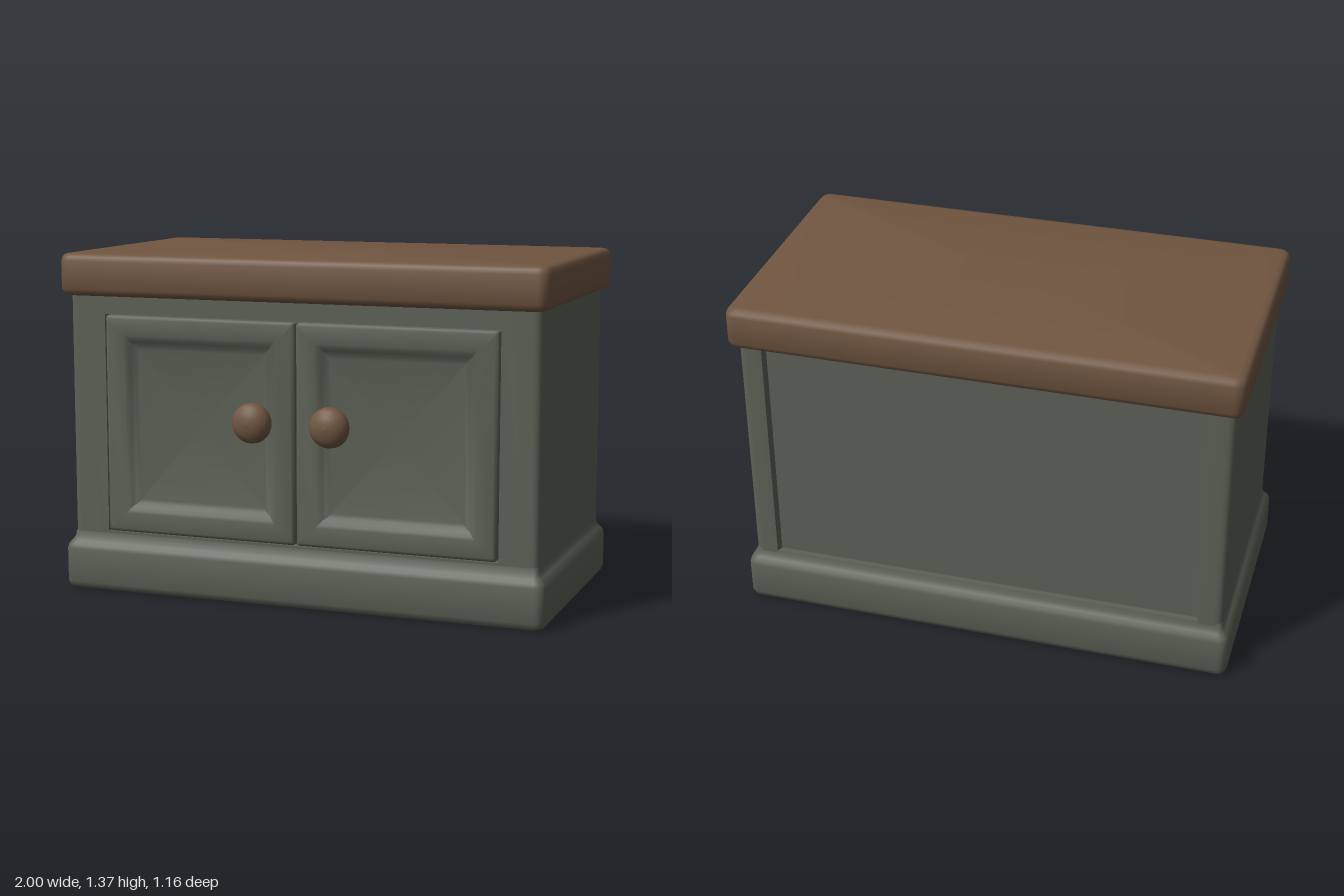
import * as THREE from 'three';
import { toCreasedNormals } from 'three/addons/utils/BufferGeometryUtils.js';

// One rounded rectangle as a ring of points, counter-clockwise in the xy plane.
function roundedRing(hx, hy, r, z) {
  const ring = [], steps = 5;
  const corners = [[1, 1], [-1, 1], [-1, -1], [1, -1]];
  corners.forEach(([sx, sy], c) => {
    for (let i = 0; i <= steps; i++) {
      const a = (c + i / steps) * Math.PI / 2;
      ring.push([sx * (hx - r) + r * Math.cos(a), sy * (hy - r) + r * Math.sin(a), z]);
    }
  });
  return ring;
}

// Stack rounded rectangles along +z; each profile entry is [inset, height].
function loft(hx, hy, radius, profile) {
  const rings = profile.map(([inset, z]) =>
    roundedRing(hx - inset, hy - inset, Math.max(radius - inset * 0.5, 0.006), z));
  const n = rings[0].length, index = [];
  const points = rings.flat();
  rings.slice(1).forEach((_, k) => {
    for (let i = 0; i < n; i++) {
      const a = k * n + i, b = k * n + (i + 1) % n;
      index.push(a, b, b + n, a, b + n, a + n);
    }
  });
  // caps
  const first = points.length, last = first + 1, top = (rings.length - 1) * n;
  points.push([0, 0, profile[0][1]], [0, 0, profile[profile.length - 1][1]]);
  for (let i = 0; i < n; i++) {
    const j = (i + 1) % n;
    index.push(first, j, i, last, top + i, top + j);
  }
  const geo = new THREE.BufferGeometry();
  geo.setAttribute('position', new THREE.Float32BufferAttribute(points.flat(), 3));
  geo.setIndex(index);
  return toCreasedNormals(geo, 0.85);
}

export function createModel() {
  const group = new THREE.Group();
  const green = new THREE.MeshStandardMaterial({ color: 0x5d6156 });
  green.name = 'sage green paint';
  const brown = new THREE.MeshStandardMaterial({ color: 0x715641 });
  brown.name = 'brown wood';

  function add(name, geo, mat, x = 0, y = 0, z = 0) {
    const mesh = new THREE.Mesh(geo, mat);
    mesh.name = name;
    mesh.position.set(x, y, z);
    group.add(mesh);
    return mesh;
  }

  // Plinth with a sloped upper edge
  const plinth = loft(1, 0.535, 0.035, [
    [0.025, 0], [0.008, 0.008], [0, 0.03], [0, 0.165], [0.005, 0.182],
    [0.018, 0.197], [0.028, 0.212], [0.032, 0.235],
  ]).rotateX(-Math.PI / 2);
  // the top closes below the recesses
  add('plinth', plinth, green, 0, 0, -0.025);

  // Carcass: plan outline with rounded corners, door recess and back recess
  const w = 0.97, front = -0.475, back = 0.53, r = 0.035;
  const plan = new THREE.Shape();
  plan.moveTo(-w + r, front);
  plan.lineTo(-0.815, front);
  plan.lineTo(-0.815, front + 0.035);
  plan.lineTo(0.815, front + 0.035);
  plan.lineTo(0.815, front);
  plan.lineTo(w - r, front);
  plan.quadraticCurveTo(w, front, w, front + r);
  plan.lineTo(w, back - r);
  plan.quadraticCurveTo(w, back, w - r, back);
  plan.lineTo(0.875, back);
  plan.lineTo(0.865, back - 0.025);
  plan.lineTo(-0.865, back - 0.025);
  plan.lineTo(-0.875, back);
  plan.lineTo(-w + r, back);
  plan.quadraticCurveTo(-w, back, -w, back - r);
  plan.lineTo(-w, front + r);
  plan.quadraticCurveTo(-w, front, -w + r, front);
  const carcass = new THREE.ExtrudeGeometry(plan, { depth: 1.07, bevelEnabled: false, curveSegments: 6 });
  add('carcass', toCreasedNormals(carcass.rotateX(-Math.PI / 2), 0.6), green, 0, 0.15, 0);

  // Front rails above and below the doors
  for (const [name, low, high] of [['lowerRail', 0.2, 0.245], ['upperRail', 1.125, 1.22]]) {
    add(name, new THREE.BoxGeometry(1.63, high - low, 0.035), green, 0, (low + high) / 2, 0.4575);
  }

  // Doors with soft sunken panels, and their knobs
  const door = loft(0.403, 0.437, 0.012, [
    [0, 0.438], [0, 0.476], [0.004, 0.484], [0.014, 0.488], [0.078, 0.488],
    [0.09, 0.485], [0.105, 0.474], [0.118, 0.465], [0.135, 0.461],
  ]);
  const knobProfile = [
    [0, 0], [0.045, 0], [0.042, 0.02], [0.058, 0.032], [0.074, 0.045], [0.08, 0.062],
    [0.077, 0.082], [0.065, 0.1], [0.045, 0.112], [0.022, 0.118], [0, 0.12],
  ].map(([x, y]) => new THREE.Vector2(x, y));
  const knob = new THREE.LatheGeometry(knobProfile, 28).rotateX(Math.PI / 2);
  for (const [side, s] of [['right', -1], ['left', 1]]) {
    add(side + 'Door', door, green, s * 0.406, 0.685, 0);
    add(side + 'Knob', knob, brown, s * 0.16 - 0.003, 0.73, 0.459);
  }

  // Thick worktop with eased edges
  const worktop = loft(1, 0.546, 0.04, [
    [0.03, 1.197], [0.01, 1.205], [0, 1.225], [0, 1.335], [0.005, 1.352], [0.015, 1.362], [0.035, 1.366],
  ]).rotateX(-Math.PI / 2);
  add('worktop', worktop, brown, 0, 0, -0.031);

  return group;
}
